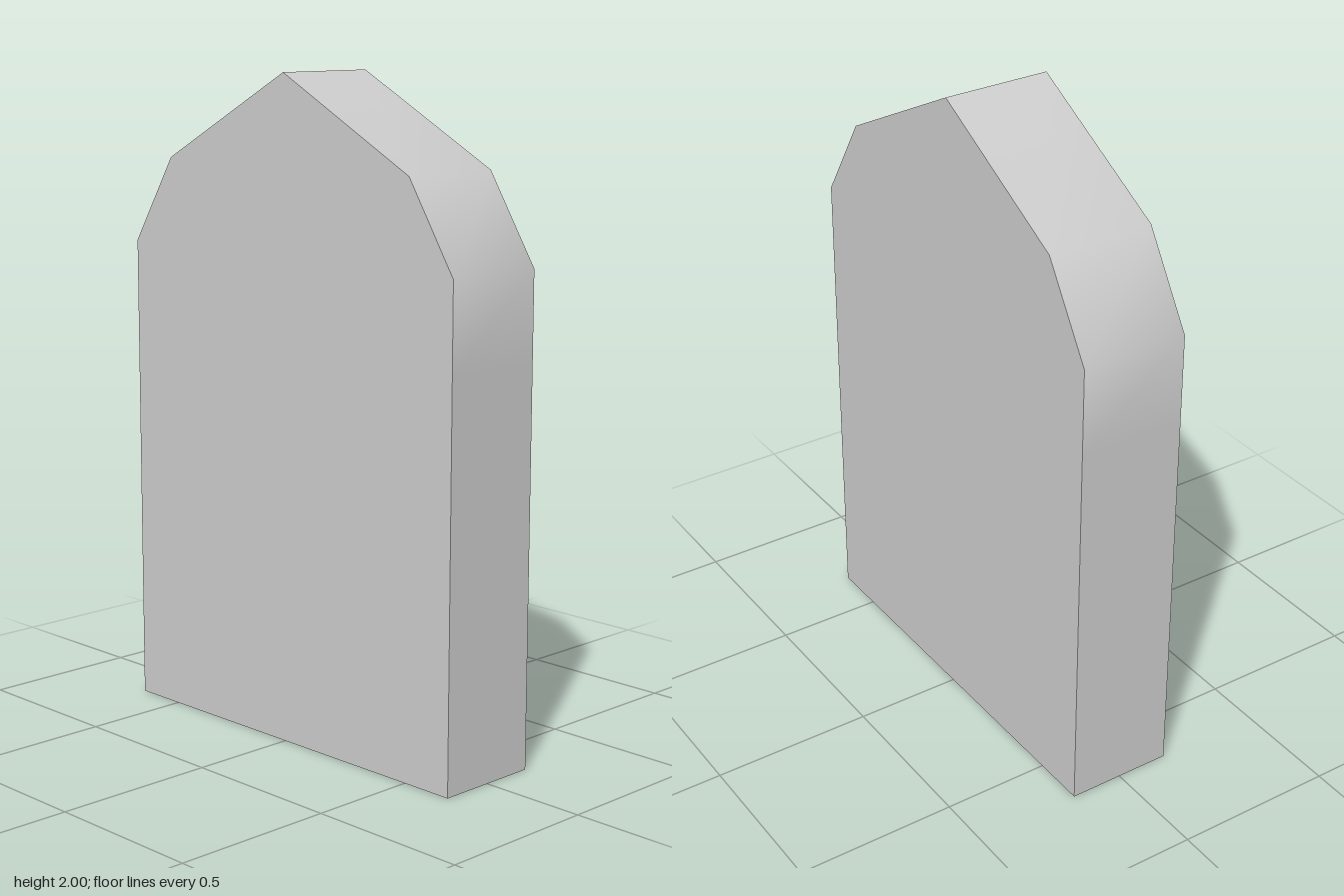
import * as THREE from 'three';
import { toCreasedNormals } from 'three/addons/utils/BufferGeometryUtils.js';

const THICKNESS = 0.333;

export function createModel() {
  const group = new THREE.Group();
  group.name = 'archedSlab';

  // Half outline from the base to the shoulder, mirrored about the ridge
  const half = [[0.667, 0], [0.667, 1.2], [0.667, 1.467], [0.5, 1.733]];
  const mirrored = half.map(([x, y]) => [-x, y]).reverse();
  const outline = [...half, [0, 2], ...mirrored].map(([x, y]) => new THREE.Vector2(x, y));

  // Slab extruded across x, smooth over the shoulders, sharp at ridge and sides
  const solid = new THREE.ExtrudeGeometry(new THREE.Shape(outline), {
    depth: THICKNESS,
    bevelEnabled: false,
  });
  solid.translate(0, 0, -THICKNESS / 2);
  solid.rotateY(Math.PI / 2);

  const slab = new THREE.Mesh(
    toCreasedNormals(solid, THREE.MathUtils.degToRad(40)),
    new THREE.MeshStandardMaterial({ color: 0xcccccc })
  );
  slab.name = 'slab';
  group.add(slab);
  return group;
}
